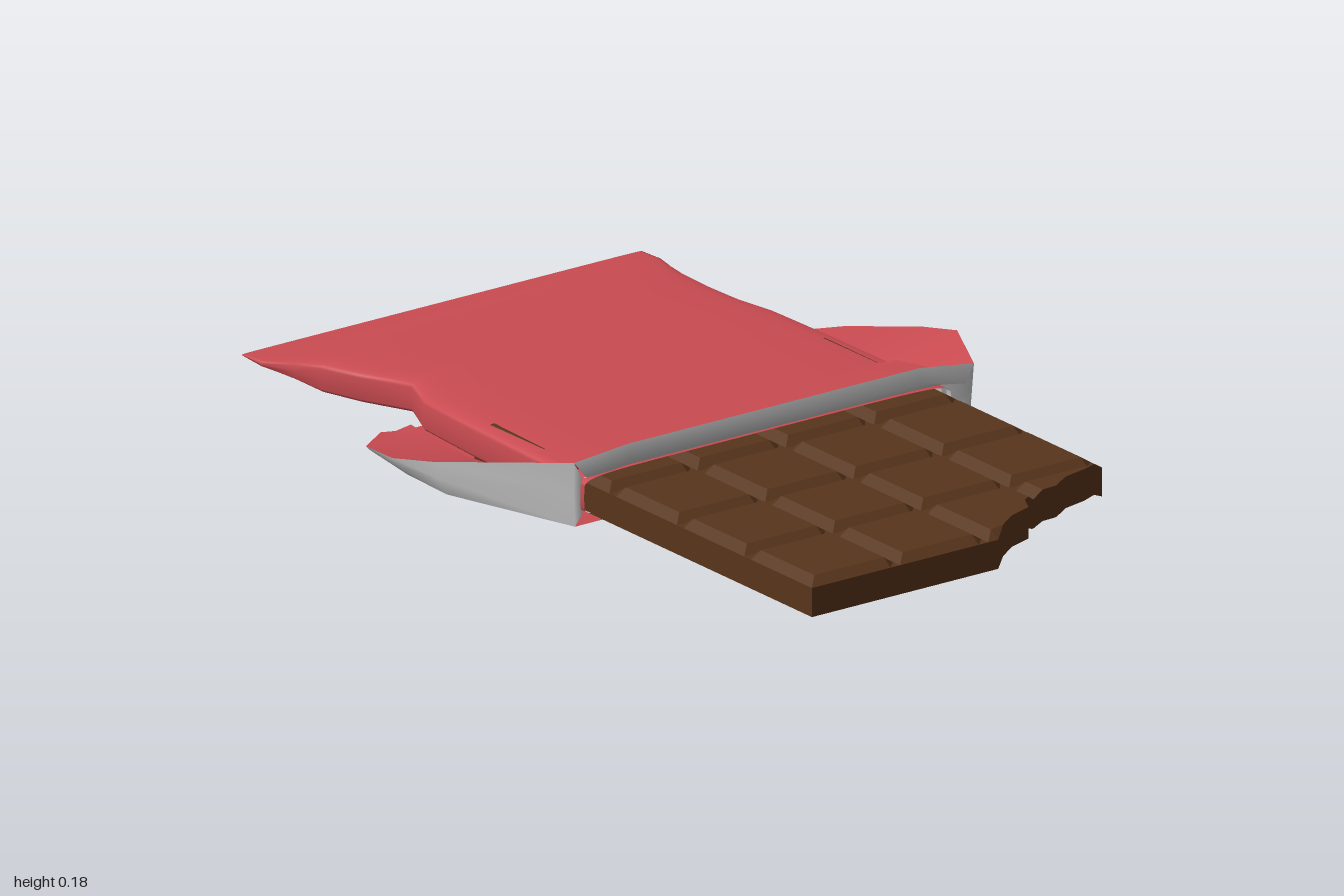
import * as THREE from 'three';

const mat = (color, side = THREE.DoubleSide, flatShading = false) =>
  new THREE.MeshStandardMaterial({ color, side, flatShading });
const RED = 0xc94b51, FOIL = 0xcccccc, BROWN = 0x58351c;

// Surface through rows of points (all rows the same length)
function loft(rows) {
  const n = rows[0].length, index = [];
  for (let i = 0; i < rows.length - 1; i++) {
    for (let j = 0; j < n - 1; j++) {
      const a = i * n + j, b = a + n;
      index.push(a, a + 1, b, a + 1, b + 1, b);
    }
  }
  const g = new THREE.BufferGeometry();
  g.setAttribute('position', new THREE.Float32BufferAttribute(rows.flat(2), 3));
  g.setIndex(index);
  g.computeVertexNormals();
  return g;
}

function add(group, name, geometry, material) {
  const mesh = new THREE.Mesh(geometry, material);
  mesh.name = name;
  group.add(mesh);
  return mesh;
}

// Piecewise linear lookup in [[x, y], ...]
function lerpTable(table, x) {
  if (x <= table[0][0]) return table[0][1];
  for (let i = 1; i < table.length; i++) {
    const [x0, y0] = table[i - 1], [x1, y1] = table[i];
    if (x <= x1) return y0 + (y1 - y0) * (x - x0) / (x1 - x0);
  }
  return table[table.length - 1][1];
}

// Chocolate bar: thin shell, open below, bevelled squares and a bitten corner
function makeBar() {
  const bar = new THREE.Group();
  bar.name = 'chocolateBar';
  const X0 = -0.52, W = 0.2415, D = 0.248, COLS = 4, ROWS = 5, BEVEL = 0.026;
  const TOP = 0.115, GROOVE = 0.098, BASE = 0.03;
  const bite = [[-0.01, 1], [0.03, 0.965], [0.08, 0.93], [0.14, 0.91], [0.16, 0.87], [0.2, 0.842],
    [0.27, 0.838], [0.32, 0.805], [0.38, 0.792], [0.42, 0.775], [0.446, 0.77]];

  const lines = (start, step, count) => {
    const out = [start];
    for (let i = 0; i < count; i++) {
      const a = start + i * step;
      out.push(a + BEVEL, a + step - BEVEL, a + step);
    }
    return out;
  };
  const zBack = 1 - ROWS * D;
  const xs = [...lines(X0, W, COLS), ...bite.slice(0, -1).map(p => p[0])].sort((a, b) => a - b);
  const zs = lines(zBack, D, ROWS);
  const edge = (v, start, step) => {
    const f = (v - start) / step;
    return Math.abs(f - Math.round(f)) * step;
  };
  const height = (x, z) => {
    const e = Math.min(edge(x, X0, W), edge(z, zBack, D), BEVEL);
    return GROOVE + (TOP - GROOVE) * e / BEVEL;
  };
  const point = (x, z) => {
    const zc = Math.min(z, lerpTable(bite, x));
    return [x, height(x, zc), zc];
  };
  const brown = mat(BROWN, THREE.DoubleSide, true);
  add(bar, 'barSquares', loft(zs.map(z => xs.map(x => point(x, z)))), brown);

  // Walls hang from the outline; the bitten wall stops slightly higher
  const wall = (name, pts, base) =>
    add(bar, name, loft([pts, pts.map(p => [p[0], base(p), p[2]])]), brown);
  const flat = () => BASE;
  wall('barRightWall', zs.map(z => point(X0, z)), flat);
  wall('barLeftWall', zs.map(z => point(xs[xs.length - 1], z)), flat);
  wall('barFrontWall', xs.map(x => point(x, 1)),
    p => p[0] > 0 && Math.abs(p[0] - 0.2) > 0.02 && p[0] < 0.44 ? 0.041 : BASE);
  return bar;
}

// Sleeve: rounded rectangle sections [z, xMin, xMax, yMin, yMax] closing to a flat seal
function makeSleeve() {
  const sleeve = new THREE.Group();
  sleeve.name = 'wrapperSleeve';
  const sections = [
    [-1, -0.59, 0.505, 0.062, 0.067],
    [-0.93, -0.59, 0.505, 0.055, 0.073],
    [-0.85, -0.56, 0.477, 0.037, 0.09],
    [-0.78, -0.54, 0.455, 0.02, 0.104],
    [-0.68, -0.51, 0.447, 0.02, 0.107],
    [-0.56, -0.455, 0.45, 0.02, 0.108],
    [-0.44, -0.51, 0.455, 0.021, 0.117],
    [-0.25, -0.525, 0.457, 0.022, 0.12],
    [0, -0.534, 0.46, 0.023, 0.12],
    [0.19, -0.54, 0.465, 0.024, 0.12]];
  const SEG = 48, P = 0.28;
  const soft = v => Math.sign(v) * Math.abs(v) ** P;
  const geometry = loft(sections.map(([z, x0, x1, y0, y1]) =>
    Array.from({ length: SEG + 1 }, (_, j) => {
      const t = (j / SEG) * Math.PI * 2 - Math.PI / 2;
      return [(x0 + x1) / 2 + soft(Math.cos(t)) * (x1 - x0) / 2,
        (y0 + y1) / 2 + soft(Math.sin(t)) * (y1 - y0) / 2, z];
    })));
  add(sleeve, 'sleeveOutside', geometry, mat(RED, THREE.FrontSide));
  add(sleeve, 'sleeveLining', geometry, mat(FOIL, THREE.BackSide));
  return sleeve;
}

// Peeled collar: side flaps, rolled front lip and the sheet below
function makeCollar() {
  const collar = new THREE.Group();
  collar.name = 'peeledCollar';
  // Each station, back to front: lower point, upper rim point, inner fold point
  const left = [
    [[0.49, 0.002, -0.545], [0.49, 0.01, -0.545], [0.44, 0.012, -0.54]],
    [[0.62, 0.01, -0.43], [0.64, 0.026, -0.44], [0.45, 0.025, -0.44]],
    [[0.69, 0.028, -0.25], [0.725, 0.057, -0.27], [0.455, 0.03, -0.27]],
    [[0.685, 0.03, -0.1], [0.705, 0.1, -0.11], [0.455, 0.045, -0.1]],
    [[0.5, 0.02, 0.21], [0.52, 0.156, 0.2], [0.46, 0.1, 0.17]]];
  const right = [
    [[-0.55, 0.002, -0.545], [-0.55, 0.01, -0.545], [-0.47, 0.012, -0.54]],
    [[-0.63, 0.01, -0.44], [-0.66, 0.03, -0.45], [-0.5, 0.025, -0.44]],
    [[-0.69, 0.028, -0.26], [-0.715, 0.065, -0.28], [-0.52, 0.03, -0.27]],
    [[-0.7, 0.03, -0.1], [-0.73, 0.11, -0.11], [-0.525, 0.045, -0.1]],
    [[-0.58, 0.02, 0.21], [-0.575, 0.165, 0.2], [-0.53, 0.1, 0.17]]];
  const red = mat(RED), foil = mat(FOIL);

  for (const [name, flap, xOpen] of [['left', left, 0.453], ['right', right, -0.53]]) {
    // Foil face runs along the flap, then turns into the opening
    const outer = flap.map(([low, rim]) =>
      [low, [low[0] * 0.3 + rim[0] * 0.7, (low[1] + rim[1]) / 2, rim[2]], rim]);
    outer.push([[xOpen, 0.026, 0.17], [xOpen, 0.065, 0.17], [xOpen, 0.11, 0.17]]);
    add(collar, name + 'FlapFoil', loft(outer), foil);
    add(collar, name + 'FlapInside', loft(flap.map(([, rim, fold]) => {
      const mid = rim.map((v, k) => (v + fold[k]) / 2);
      mid[1] -= 0.006;
      return [rim, mid, fold];
    })), red);
  }

  // Lip: foil in front, sheet folded back on top
  const rim = [[-0.575, 0.165, 0.2], [-0.43, 0.179, 0.203], [0.37, 0.179, 0.203], [0.52, 0.156, 0.2]];
  const xIn = [-0.53, -0.42, 0.36, 0.453];
  add(collar, 'lipFoil', loft([
    xIn.map(x => [x, 0.112, 0.17]),
    rim.map(([x, y], i) => [x * 0.5 + xIn[i] * 0.5, y - 0.035, 0.215]),
    rim]), foil);
  add(collar, 'lipFold', loft([
    rim,
    rim.map(([x, y], i) => [x * 0.6 + xIn[i] * 0.4, y - 0.024, 0.185]),
    xIn.map(x => [x, 0.12, 0])]), red);

  // Sheet below, sloping down to the back
  const yMid = [0, 0.004, 0.008, 0.012, 0.02];
  add(collar, 'bottomSheet', loft(left.map(([l], i) => {
    const r = right[i][0];
    return [r, [-0.5, yMid[i], r[2]], [0.42, yMid[i], l[2]], l];
  })), red);
  return collar;
}

export function createModel() {
  const model = new THREE.Group();
  model.name = 'wrappedChocolateBar';
  model.add(makeBar(), makeSleeve(), makeCollar());
  return model;
}
